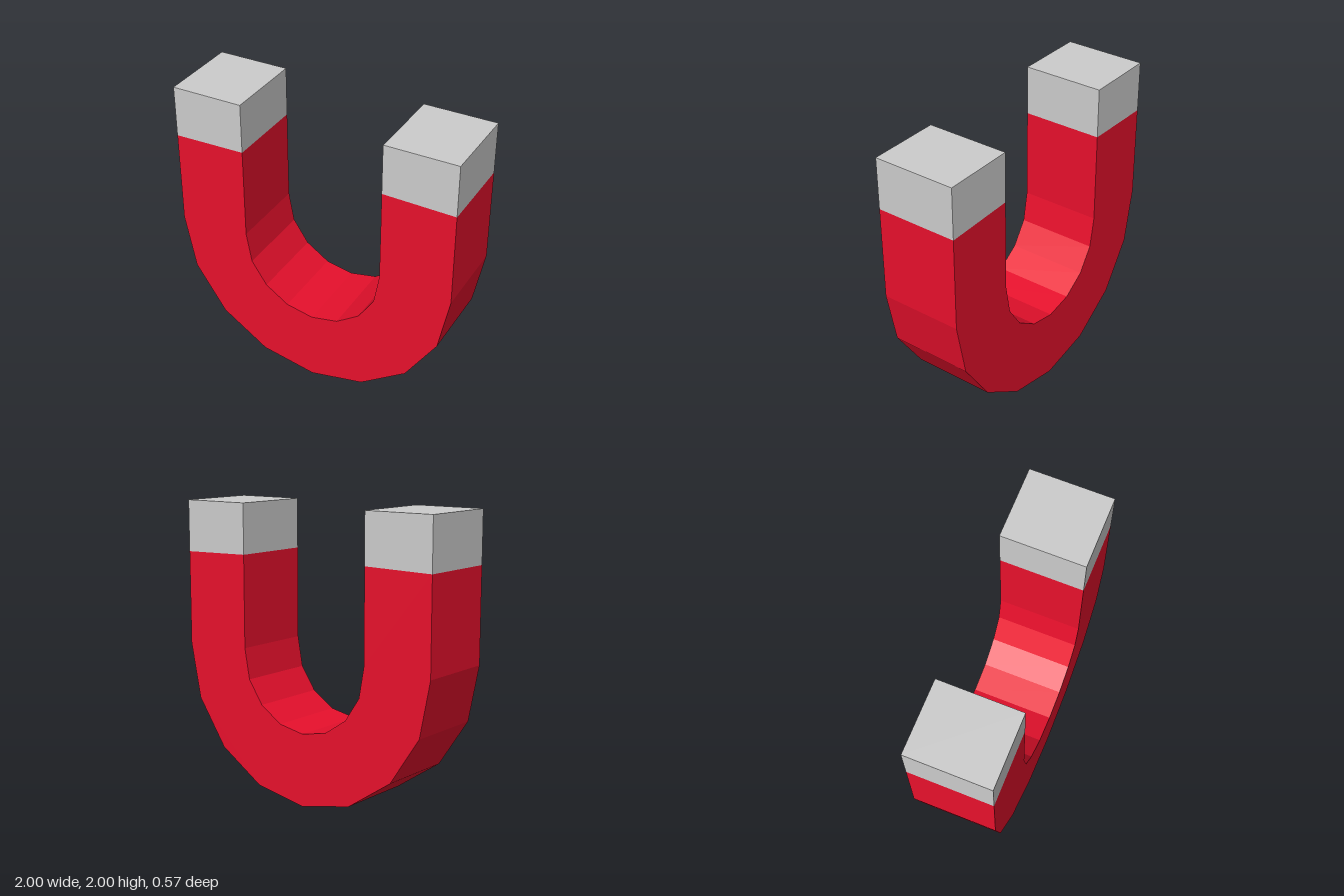
import * as THREE from 'three';

const DEPTH = 0.57, OUTER = 1, INNER = 0.5, SEGMENTS = 8;
const TOP = 2, SEAM_OUT = 1.645, SEAM_IN = 1.655;

// Flat-sided prism from an outline in the front plane, centred on z
function prism(name, points, material) {
  const geometry = new THREE.ExtrudeGeometry(new THREE.Shape(points), { depth: DEPTH, bevelEnabled: false });
  geometry.translate(0, 0, -DEPTH / 2);
  const mesh = new THREE.Mesh(geometry, material);
  mesh.name = name;
  return mesh;
}

// Lower half circle from left (+x) to right (-x); endY is the height of its ends
function arc(radius, endY) {
  return Array.from({ length: SEGMENTS + 1 }, (_, i) => {
    const a = (i / SEGMENTS) * Math.PI;
    const y = i % SEGMENTS === 0 ? endY : 1 - radius * Math.sin(a);
    return new THREE.Vector2(radius * Math.cos(a), y);
  });
}

export function createModel() {
  const model = new THREE.Group();
  model.name = 'horseshoeMagnet';
  const red = new THREE.MeshStandardMaterial({ color: 0xe7102c, flatShading: true });
  const grey = new THREE.MeshStandardMaterial({ color: 0xcccccc, flatShading: true });
  const v = (x, y) => new THREE.Vector2(x, y);

  // U-shaped body: outer curve, then back along the inner curve
  model.add(prism('body', [
    v(OUTER, SEAM_OUT), ...arc(OUTER, 1), v(-OUTER, SEAM_OUT),
    v(-INNER, SEAM_IN), ...arc(INNER, 1.02).reverse(), v(INNER, SEAM_IN),
  ], red));

  // Bare metal pole tips
  for (const [name, s] of [['leftTip', 1], ['rightTip', -1]]) {
    model.add(prism(name, [
      v(s * INNER, SEAM_IN), v(s * OUTER, SEAM_OUT), v(s * OUTER, TOP), v(s * INNER, TOP),
    ], grey));
  }
  return model;
}
